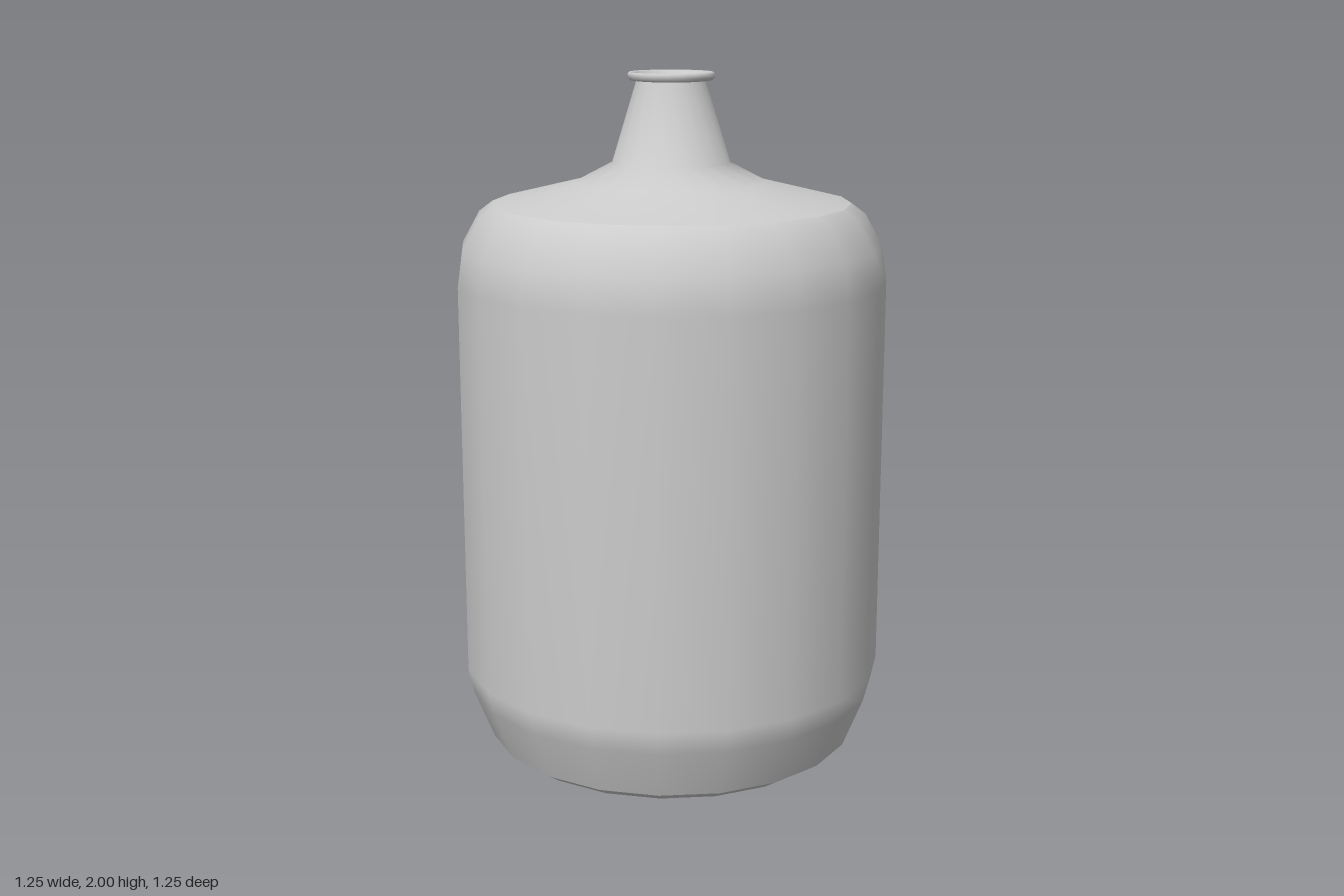
import * as THREE from 'three';

const SIDES = 20;
const material = new THREE.MeshStandardMaterial({ color: 0xcccccc, side: THREE.DoubleSide });

// Smooth lathe around y; a quarter turn puts a corner on each axis.
function turned(name, profile) {
  const points = profile.map(([r, y]) => new THREE.Vector2(r, y));
  const mesh = new THREE.Mesh(new THREE.LatheGeometry(points, SIDES), material);
  mesh.name = name;
  return mesh;
}

export function createModel() {
  const jug = new THREE.Group();
  jug.name = 'jug';

  // Each profile ends at a hard edge, so the shading breaks only there.
  jug.add(
    turned('base', [[0, 0], [0.505, 0]]),
    turned('baseBevel', [[0.505, 0], [0.55, 0.03]]),
    turned('body', [
      [0.55, 0.03], [0.61, 0.18], [0.625, 0.25], [0.625, 1.405],
      [0.61, 1.51], [0.56, 1.6], [0.52, 1.63],
    ]),
    turned('shoulderAndNeck', [
      [0.52, 1.63], [0.275, 1.69], [0.17, 1.745], [0.1, 1.975],
    ]),
    turned('rim', [
      [0.1, 1.975], [0.118, 1.977], [0.125, 1.985], [0.125, 1.995],
      [0.12, 2], [0.114, 1.998],
    ]),
    // Inside of the mouth and the hollow below it
    turned('mouth', [[0.114, 1.998], [0.097, 1.972]]),
    turned('innerWall', [
      [0.097, 1.972], [0.163, 1.74], [0.27, 1.68], [0.51, 1.62], [0.6, 1.5],
      [0.615, 1.405], [0.615, 0.25], [0.54, 0.04], [0.5, 0.015],
    ]),
    turned('innerFloor', [[0.5, 0.015], [0, 0.015]]),
  );
  return jug;
}
